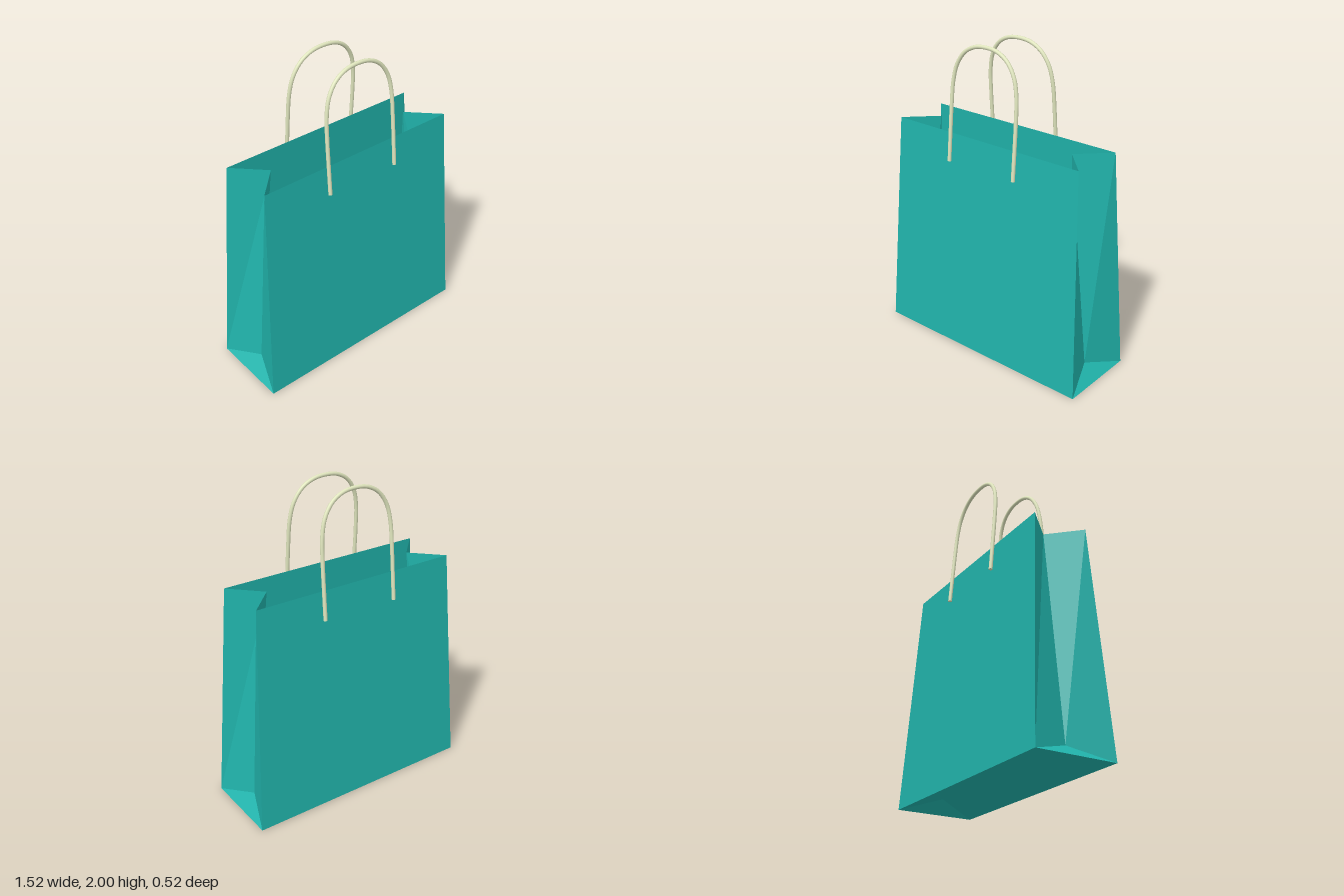
import * as THREE from 'three';

const paper = new THREE.MeshStandardMaterial({ color: 0x20b2aa, flatShading: true, side: THREE.DoubleSide });
const cord = new THREE.MeshStandardMaterial({ color: 0xdfe5bd });

// Flat panel from 3 or 4 corners, counter-clockwise seen from outside
function panel(name, corners) {
  const order = corners.length === 4 ? [0, 1, 2, 0, 2, 3] : [0, 1, 2];
  const geometry = new THREE.BufferGeometry();
  geometry.setAttribute('position', new THREE.Float32BufferAttribute(order.flatMap((i) => corners[i]), 3));
  geometry.computeVertexNormals();
  const mesh = new THREE.Mesh(geometry, paper);
  mesh.name = name;
  return mesh;
}

// Half of the bag: one broad wall, half of the raised base and one folded side
function bagHalf() {
  const half = new THREE.Group();
  const base = (sx, sz) => [0.762 * sx, 0, 0.258 * sz];
  const rim = (sx, sz) => [0.688 * sx, 1.43, 0.18 * sz];
  const foldLow = (sx) => [0.662 * sx, 0.08, 0];
  const foldTop = (sx) => [0.512 * sx, 1.43, 0];

  half.add(
    panel('broadWall', [base(-1, 1), base(1, 1), rim(1, 1), rim(-1, 1)]),
    panel('baseSlope', [base(1, 1), base(-1, 1), foldLow(-1), foldLow(1)]),
    panel('gussetFront', [base(1, 1), foldLow(1), foldTop(1), rim(1, 1)]),
    panel('gussetBack', [foldLow(1), base(1, -1), rim(1, -1), foldTop(1)]),
    panel('gussetFoot', [base(1, 1), base(1, -1), foldLow(1)])
  );
  return half;
}

// Arched cord handle leaning inwards towards the top
function handle() {
  const leg = [[0.25, 1.255], [0.249, 1.42], [0.247, 1.6], [0.24, 1.75], [0.215, 1.855], [0.16, 1.935], [0.085, 1.977]];
  const arch = [...leg, [0, 1.988], ...leg.map(([x, y]) => [-x, y]).reverse()];
  const points = arch.map(([x, y]) => new THREE.Vector3(x, y, 0.208 - (y - 1.255) * 0.081));
  const radius = 0.012;
  const path = new THREE.CatmullRomCurve3(points);
  const group = new THREE.Group();
  group.add(new THREE.Mesh(new THREE.TubeGeometry(path, 64, radius, 12), cord));
  // End caps
  for (const t of [0, 1]) {
    const cap = new THREE.Mesh(new THREE.CircleGeometry(radius, 12), cord);
    const outward = path.getTangentAt(t).multiplyScalar(t ? 1 : -1);
    cap.position.copy(path.getPointAt(t));
    cap.quaternion.setFromUnitVectors(new THREE.Vector3(0, 0, 1), outward);
    cap.name = 'handleEnd';
    group.add(cap);
  }
  group.children[0].name = 'handleCord';
  return group;
}

export function createModel() {
  const model = new THREE.Group();
  model.name = 'shoppingBag';
  // The back is the front turned half way round
  ['front', 'back'].forEach((side, i) => {
    const body = bagHalf();
    body.name = side + 'BagHalf';
    const grip = handle();
    grip.name = side + 'Handle';
    for (const part of [body, grip]) {
      part.rotation.y = i * Math.PI;
      model.add(part);
    }
  });
  return model;
}
